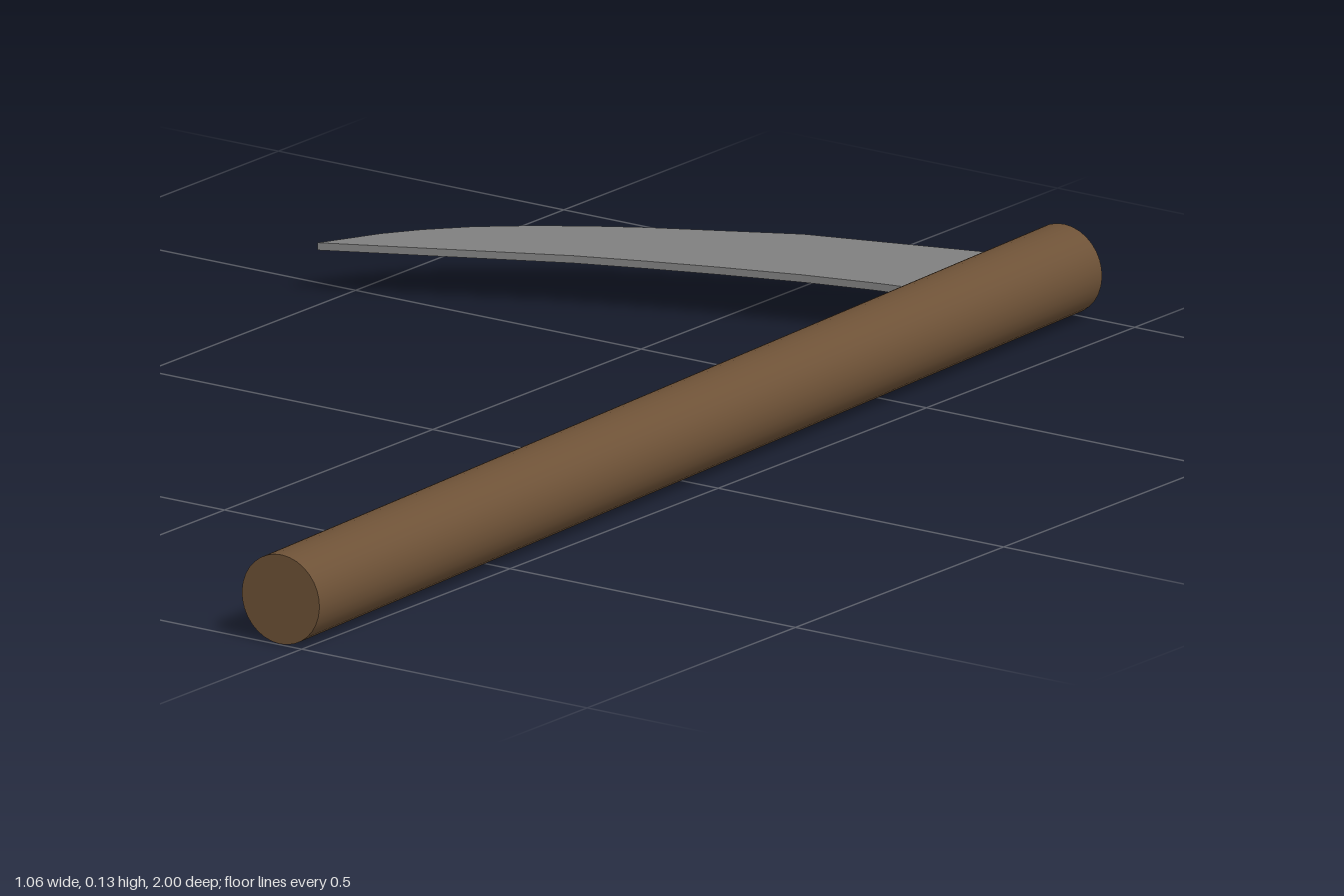
import * as THREE from 'three';

export function createModel() {
  const model = new THREE.Group();
  model.name = 'sickle';

  const wood = new THREE.MeshStandardMaterial({ color: 0x6e5237 });
  wood.name = 'brown wood';
  const steel = new THREE.MeshStandardMaterial({ color: 0x808080 });
  steel.name = 'grey steel';

  // Handle: a round pole lying down, slightly turned about the vertical
  const radius = 0.066;
  const back = new THREE.Vector3(0.377, 0.068, -0.997);
  const front = new THREE.Vector3(0.461, 0.068, 0.997);
  const axis = front.clone().sub(back);
  const handle = new THREE.Mesh(new THREE.CylinderGeometry(radius, radius, axis.length(), 32), wood);
  handle.name = 'handle';
  handle.position.copy(back).add(front).multiplyScalar(0.5);
  handle.quaternion.setFromUnitVectors(new THREE.Vector3(0, 1, 0), axis.normalize());
  model.add(handle);

  // Blade: thin curved plate, outline as [x, z], root sunk into the handle
  const outline = [
    [0.38, -0.79 + 0.03], [0.32, -0.771], [0.22, -0.75], [0.12, -0.724], [0, -0.685], [-0.1, -0.649],
    [-0.2, -0.61], [-0.53, -0.45],
    [-0.485, -0.54], [-0.45, -0.59], [-0.4, -0.645], [-0.33, -0.703], [-0.25, -0.756],
    [-0.2, -0.786], [0, -0.89], [0.32, -0.988], [0.38, -0.992],
  ];
  const shape = new THREE.Shape(outline.map(([x, z]) => new THREE.Vector2(x, -z)));
  const bladeGeometry = new THREE.ExtrudeGeometry(shape, { depth: 0.011, bevelEnabled: false });
  bladeGeometry.rotateX(-Math.PI / 2);
  const blade = new THREE.Mesh(bladeGeometry, steel);
  blade.name = 'blade';
  blade.position.y = 0.068;
  model.add(blade);

  return model;
}
